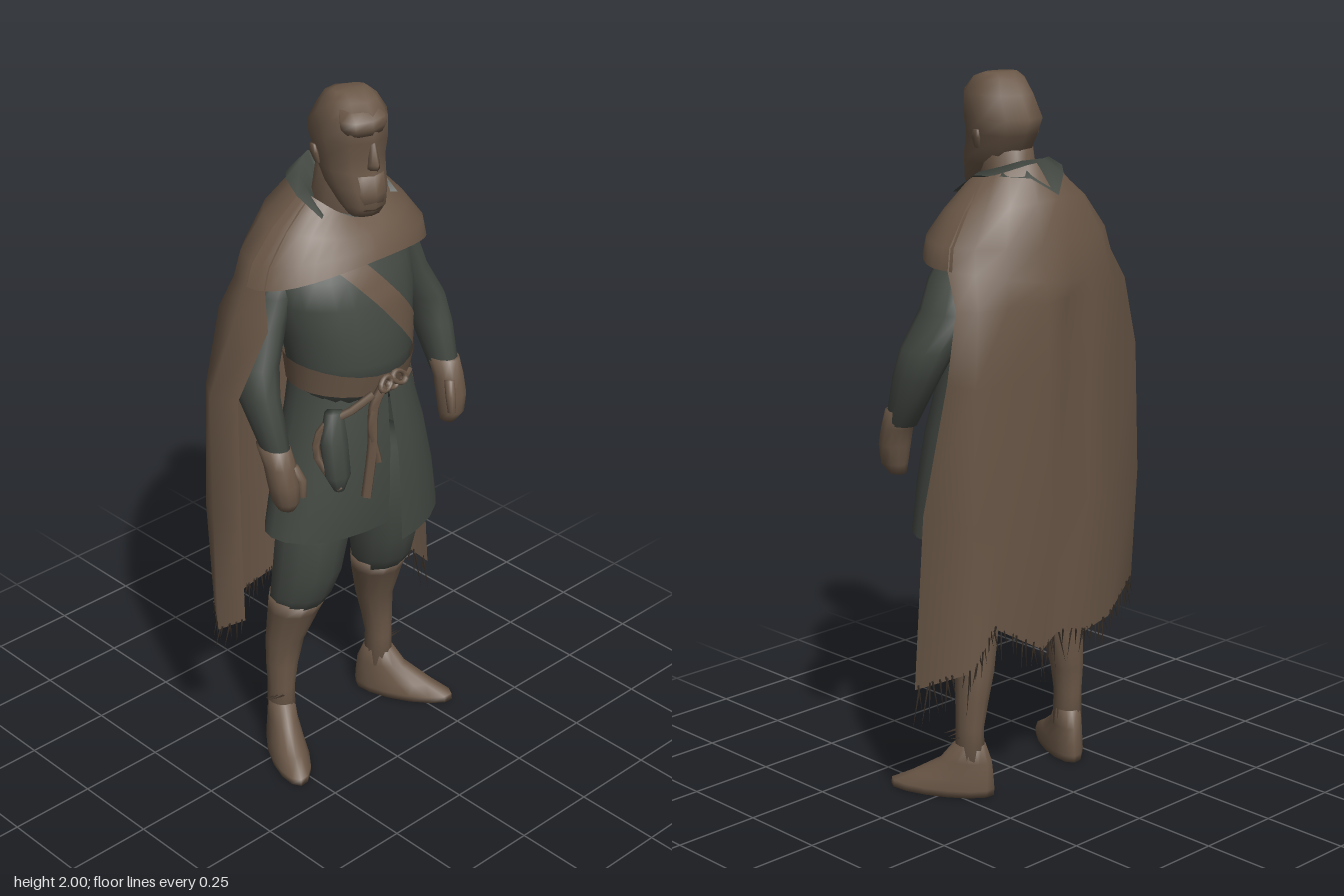
import * as THREE from 'three';

const mat = (name, color) => Object.assign(new THREE.MeshStandardMaterial({ color, side: THREE.DoubleSide }), { name });

// Surface through rows of [x, y, z] points
function grid(rows, closed = false) {
  const n = rows[0].length, idx = [];
  for (let i = 0; i < rows.length - 1; i++) {
    for (let j = 0; j < (closed ? n : n - 1); j++) {
      const k = (j + 1) % n, a = i * n + j, b = i * n + k, c = b + n, d = a + n;
      idx.push(a, b, c, a, c, d);
    }
  }
  const g = new THREE.BufferGeometry();
  g.setAttribute('position', new THREE.Float32BufferAttribute(rows.flat(2), 3));
  g.setIndex(idx);
  g.computeVertexNormals();
  return g;
}

// Capped loft of horizontal ellipses, bottom to top: [y, cx, cz, rx, rz]
function loft(rings, sides = 14) {
  const capped = [[...rings[0].slice(0, 3), 0, 0], ...rings, [...rings.at(-1).slice(0, 3), 0, 0]];
  return grid(capped.map(([y, cx, cz, rx, rz]) => Array.from({ length: sides }, (_, j) => {
    const a = j / sides * Math.PI * 2;
    return [cx + rx * Math.sin(a), y, cz + rz * Math.cos(a)];
  })), true);
}

// Point on a draped ring [yFront, ySide, yBack, cx, rx, zFront, zBack]
function drapePoint([yf, ys, yb, cx, rx, zf, zb], a) {
  const c = Math.cos(a), y = ys + (c > 0 ? yf - ys : yb - ys) * c * c;
  return [cx + rx * Math.sin(a), y, (zf + zb) / 2 + (zf - zb) / 2 * c];
}
const drape = (rows, from, to, sides) => grid(rows.map(r =>
  Array.from({ length: sides + 1 }, (_, j) => drapePoint(r, from + (to - from) * j / sides))));

const TORSO = [
  [1.16, 0, 0.04, 0.172, 0.145], [1.28, 0, 0.04, 0.185, 0.16], [1.36, 0, 0.025, 0.2, 0.165],
  [1.45, 0, 0.01, 0.22, 0.168], [1.52, 0, -0.01, 0.222, 0.162], [1.6, 0.01, -0.035, 0.18, 0.145],
  [1.68, 0.02, -0.04, 0.09, 0.08]];

// Front of the torso at a given x and y
function chestZ(x, y) {
  let i = 0;
  while (i < TORSO.length - 2 && TORSO[i + 1][0] < y) i++;
  const t = (y - TORSO[i][0]) / (TORSO[i + 1][0] - TORSO[i][0]);
  const [, cx, cz, rx, rz] = TORSO[i].map((v, k) => v + (TORSO[i + 1][k] - v) * t);
  return cz + rz * Math.sqrt(Math.max(0, 1 - ((x - cx) / rx) ** 2));
}

export function createModel() {
  const model = new THREE.Group();
  const brown = mat('brown', 0x6a5747), teal = mat('greyGreen', 0x444943), dark = mat('darkBrown', 0x3a3028);
  const add = (name, geo, m, parent = model) => {
    const mesh = new THREE.Mesh(geo, m);
    mesh.name = name;
    parent.add(mesh);
    return mesh;
  };
  let seed = 7;
  const rand = () => (seed = (seed * 16807) % 2147483647) / 2147483647;

  // Body
  add('torso', loft(TORSO, 28), teal);
  add('neck', loft([[1.6, 0.02, -0.03, 0.08, 0.08], [1.8, 0.02, 0, 0.07, 0.08]]), brown);

  // Head, turned a little to its right
  const head = new THREE.Group();
  head.name = 'head';
  head.position.set(0.025, 0, 0);
  head.rotation.y = -0.2;
  model.add(head);
  add('skull', loft([
    [1.68, 0, 0.095, 0.045, 0.035], [1.71, 0, 0.085, 0.064, 0.065], [1.76, 0, 0.05, 0.08, 0.1],
    [1.8, 0, 0.03, 0.086, 0.108], [1.84, 0, 0.015, 0.09, 0.118], [1.885, 0, 0.008, 0.099, 0.13],
    [1.945, 0, 0.03, 0.09, 0.112], [1.985, 0, 0.025, 0.068, 0.078], [2, 0, 0.02, 0.05, 0.03]], 10), brown, head);
  const forelock = add('forelock', loft([[1.912, 0, 0.1, 0.055, 0.038], [1.93, 0, 0.095, 0.07, 0.05], [1.952, 0, 0.09, 0.07, 0.054], [1.978, 0, 0.06, 0.055, 0.045]], 9), brown, head);
  forelock.rotation.z = 0.06;
  forelock.position.x = 0.11;
  add('nose', loft([[1.815, 0, 0.13, 0.017, 0.026], [1.83, 0, 0.135, 0.015, 0.025], [1.89, 0, 0.125, 0.009, 0.012]], 6), brown, head);
  add('beard', loft([[1.7, 0, 0.105, 0.045, 0.04], [1.745, 0, 0.1, 0.058, 0.054], [1.795, 0, 0.1, 0.052, 0.042]], 10), brown, head);
  for (const s of [-1, 1]) {
    add('ear', loft([[1.805, s * 0.086, 0, 0.006, 0.01], [1.835, s * 0.094, -0.005, 0.009, 0.018], [1.855, s * 0.096, -0.008, 0.006, 0.012]], 8), brown, head);
  }

  // Loose thread hanging or sticking out from a point
  const thread = (name, len, parent) => add(name, new THREE.ConeGeometry(0.004, len, 4), dark, parent);

  // Arms and legs
  for (const s of [-1, 1]) {
    const side = s > 0 ? 'left' : 'right';
    const k = s > 0 ? 1 : 0.84, drop = s > 0 ? 0 : 0.04;
    const limb = (rings, f, dy = 0) => loft(rings.map(([y, x, ...r]) => [y - dy, s * x * f, ...r]), 12);
    add(side + 'Sleeve', limb([
      [1.08, 0.352, 0.064, 0.037, 0.048], [1.22, 0.355, 0, 0.05, 0.075], [1.3, 0.34, -0.03, 0.06, 0.085],
      [1.4, 0.288, -0.055, 0.062, 0.09], [1.48, 0.255, -0.045, 0.06, 0.08], [1.54, 0.22, -0.035, 0.045, 0.06]], k), teal);
    add(side + 'Hand', limb([
      [0.935, 0.338, 0.095, 0.022, 0.025], [0.965, 0.345, 0.1, 0.036, 0.04], [1.02, 0.348, 0.095, 0.044, 0.046],
      [1.07, 0.35, 0.082, 0.043, 0.046], [1.12, 0.352, 0.058, 0.041, 0.053]], k, drop), brown);
    add(side + 'Thumb', limb([
      [0.98, 0.312, 0.135, 0.011, 0.012], [1.03, 0.312, 0.13, 0.015, 0.016], [1.07, 0.325, 0.11, 0.014, 0.016]], k, drop), brown);

    const f = s > 0 ? 1 : 0.9;
    add(side + 'Trouser', limb([
      [0.49, 0.17, -0.012, 0.08, 0.075], [0.54, 0.166, 0.005, 0.09, 0.088], [0.62, 0.155, 0.02, 0.1, 0.1],
      [0.74, 0.142, 0.03, 0.105, 0.107], [0.95, 0.1, 0.03, 0.1, 0.1]], f), teal);
    add(side + 'Boot', limb([
      [0.1, 0.206, -0.045, 0.04, 0.045], [0.2, 0.207, -0.045, 0.037, 0.044], [0.28, 0.2, -0.047, 0.046, 0.05],
      [0.36, 0.188, -0.045, 0.057, 0.057], [0.47, 0.173, -0.02, 0.078, 0.075], [0.52, 0.168, -0.005, 0.088, 0.084]], f), brown);
    const foot = add(side + 'Foot', loft([
      [0, 0, 0.082, 0.054, 0.152], [0.02, 0, 0.08, 0.056, 0.152], [0.05, 0, 0.05, 0.05, 0.12],
      [0.1, 0, 0.01, 0.042, 0.075], [0.15, 0, 0, 0.038, 0.045]]), brown);
    foot.position.set(s * 0.207 * f, 0, -0.045);
    foot.rotation.y = s * 0.5;
    for (let i = 0; i < 3; i++) {
      const tie = thread(side + 'BootTie', 0.05, model);
      tie.position.set(s * (0.207 * f + 0.045), 0.175 + i * 0.006, -0.04 + i * 0.014);
      tie.rotation.set(0, 0, -s * (1.3 + rand() * 0.4));
    }
  }

  // Tunic skirt, with its left panel lapping over the right
  const skirtRows = [[0.74, 0.287, 0.25, 0.19], [0.87, 0.265, 0.245, 0.2], [1.02, 0.228, 0.23, 0.2], [1.12, 0.198, 0.207, 0.192], [1.22, 0.178, 0.186, 0.184]];
  add('tunicSkirt', grid(skirtRows.map(([y, rx, z0, z1]) => Array.from({ length: 25 }, (_, j) => {
    const t = j / 24, a = t * Math.PI * 2, c = Math.cos(a), zf = z0 + (z1 - z0) * t;
    return [0.005 + rx * Math.sin(a), y + (y < 0.8 && t > 0.5 ? 0.03 : 0), c > 0 ? 0.03 + (zf - 0.03) * c : 0.03 + 0.14 * c];
  }))), teal);

  // Belt, knot, hanging straps and pouch
  add('belt', drape([[1.19, 1.2, 1.2, 0, 0.181, 0.192, -0.12], [1.25, 1.28, 1.28, 0, 0.191, 0.206, -0.13]], 0, Math.PI * 2, 24), brown);
  for (const [x, y, r, tilt] of [[-0.025, 1.225, 0.022, 0.6], [0.025, 1.228, 0.024, -0.5], [0, 1.215, 0.015, 0]]) {
    const loop = add('beltKnot', new THREE.TorusGeometry(r, 0.009, 6, 12), brown);
    loop.scale.y = 0.7;
    loop.rotation.set(-0.3, 0, tilt);
    loop.position.set(x, y, 0.21);
  }
  const strap = (name, pts, r) => add(name, new THREE.TubeGeometry(new THREE.CatmullRomCurve3(pts.map(p => new THREE.Vector3(...p))), 10, r, 5), brown);
  strap('beltStrap', [[0.04, 1.22, 0.207], [0.075, 1.205, 0.188], [0.1, 1.21, 0.175]], 0.008);
  strap('beltStrap', [[-0.03, 1.22, 0.208], [-0.06, 1.17, 0.203], [-0.07, 1.05, 0.208], [-0.09, 0.9, 0.206]], 0.015);
  strap('beltStrap', [[-0.04, 1.21, 0.205], [-0.075, 1.12, 0.207], [-0.055, 1.0, 0.215]], 0.011);
  strap('pouchCord', [[-0.06, 1.2, 0.198], [-0.12, 1.16, 0.172], [-0.18, 1.12, 0.13], [-0.2, 1.04, 0.125], [-0.16, 0.94, 0.175]], 0.012);
  add('pouch', loft([[0.93, -0.155, 0.165, 0.015, 0.015], [0.98, -0.16, 0.165, 0.04, 0.032], [1.08, -0.16, 0.15, 0.042, 0.034], [1.16, -0.15, 0.14, 0.028, 0.022]], 8), teal);

  // Band across the chest
  const band = (x0, y0, x1, y1, w) => {
    const len = Math.hypot(x1 - x0, y1 - y0), nx = -(y1 - y0) / len * w, ny = (x1 - x0) / len * w;
    return grid([-1, 0, 1].map(e => Array.from({ length: 17 }, (_, j) => {
      const t = j / 16, x = x0 + (x1 - x0) * t + nx * e, y = y0 + (y1 - y0) * t + ny * e;
      return [x, y, chestZ(x, y) + 0.005];
    })));
  };
  add('chestSash', band(-0.13, 1.62, 0.155, 1.29, 0.034), brown);

  // Mantle over the shoulders and the pointed lining at the neck
  const mantle = [
    [1.57, 1.51, 1.47, 0.01, 0.299, 0.165, -0.243], [1.6, 1.57, 1.57, 0.018, 0.284, 0.15, -0.232],
    [1.63, 1.655, 1.68, 0.015, 0.218, 0.127, -0.192], [1.66, 1.735, 1.772, 0.02, 0.13, 0.085, -0.13]];
  add('mantle', drape(mantle, -1.6, 1.8, 20), brown);
  const lining = [
    [-0.125, 1.69, 0.07], [-0.13, 1.728, -0.02], [-0.105, 1.747, -0.09], [-0.055, 1.737, -0.145], [0.01, 1.69, -0.19],
    [0.075, 1.737, -0.15], [0.128, 1.742, -0.1], [0.15, 1.738, -0.01], [0.15, 1.685, 0.07]];
  const ridge = [1.688, 1.745, 1.763, 1.778, 1.782, 1.778, 1.763, 1.745, 1.685];
  add('collarLining', grid([
    lining, lining.map(([x, , z], j) => [0.02 + (x - 0.02) * 0.82, ridge[j], z * 0.7]),
    lining.map(([x, , z]) => [0.02 + (x - 0.02) * 0.5, 1.68, z * 0.4])]), teal);

  // Cape, from its right front edge round the back to its left edge
  const hem = [0.5, 0.48, 0.53, 0.46, 0.455, 0.47, 0.45, 0.54, 0.44, 0.36];
  const angles = [-1.3, -1.65, -2.05, -2.5, -2.9, -3.14, -3.45, -3.85, -4.2, -4.55];
  const capeRows = [
    [1.42, [-0.305, 0.055, -0.332, -0.05, -0.295, -0.15, -0.18, -0.21, -0.065, -0.243, 0.02, -0.232, 0.11, -0.252, 0.22, -0.215, 0.31, -0.19, 0.34, -0.14]],
    [1.22, [-0.375, 0.01, -0.412, -0.06, -0.36, -0.135, -0.2, -0.2, -0.07, -0.238, 0.02, -0.22, 0.11, -0.253, 0.24, -0.215, 0.335, -0.205, 0.355, -0.12]],
    [0.85, [-0.365, 0, -0.412, -0.06, -0.37, -0.14, -0.2, -0.2, -0.07, -0.235, 0.02, -0.21, 0.11, -0.25, 0.25, -0.21, 0.345, -0.205, 0.38, -0.05]],
    [0, [-0.34, -0.02, -0.405, -0.06, -0.36, -0.13, -0.2, -0.19, -0.07, -0.22, 0.02, -0.2, 0.11, -0.235, 0.26, -0.2, 0.35, -0.21, 0.408, -0.04]]];
  const cape = [
    ...[...mantle].reverse().map(r => angles.map(a => drapePoint(r, a))),
    ...capeRows.map(([y, p]) => hem.map((h, j) => [p[2 * j], y || h, p[2 * j + 1]]))];
  add('cape', grid(cape), brown);

  // Ragged fringe along the hem, longest at the left corner
  const fringe = new THREE.Group();
  fringe.name = 'fringe';
  model.add(fringe);
  const edge = cape.at(-1).map(p => new THREE.Vector3(...p));
  for (let j = 0; j < edge.length - 1; j++) {
    const count = Math.round(edge[j].distanceTo(edge[j + 1]) / 0.017);
    for (let i = 0; i < count; i++) {
      const len = (0.04 + rand() * 0.07) * (j > 7 ? 1.25 : 1);
      const strand = thread('thread', len, fringe);
      strand.position.lerpVectors(edge[j], edge[j + 1], (i + rand()) / count);
      strand.position.y -= len / 2 - 0.01;
      strand.rotation.set(Math.PI + (rand() - 0.5) * 0.4, 0, (rand() - 0.5) * 0.4);
    }
  }
  return model;
}
